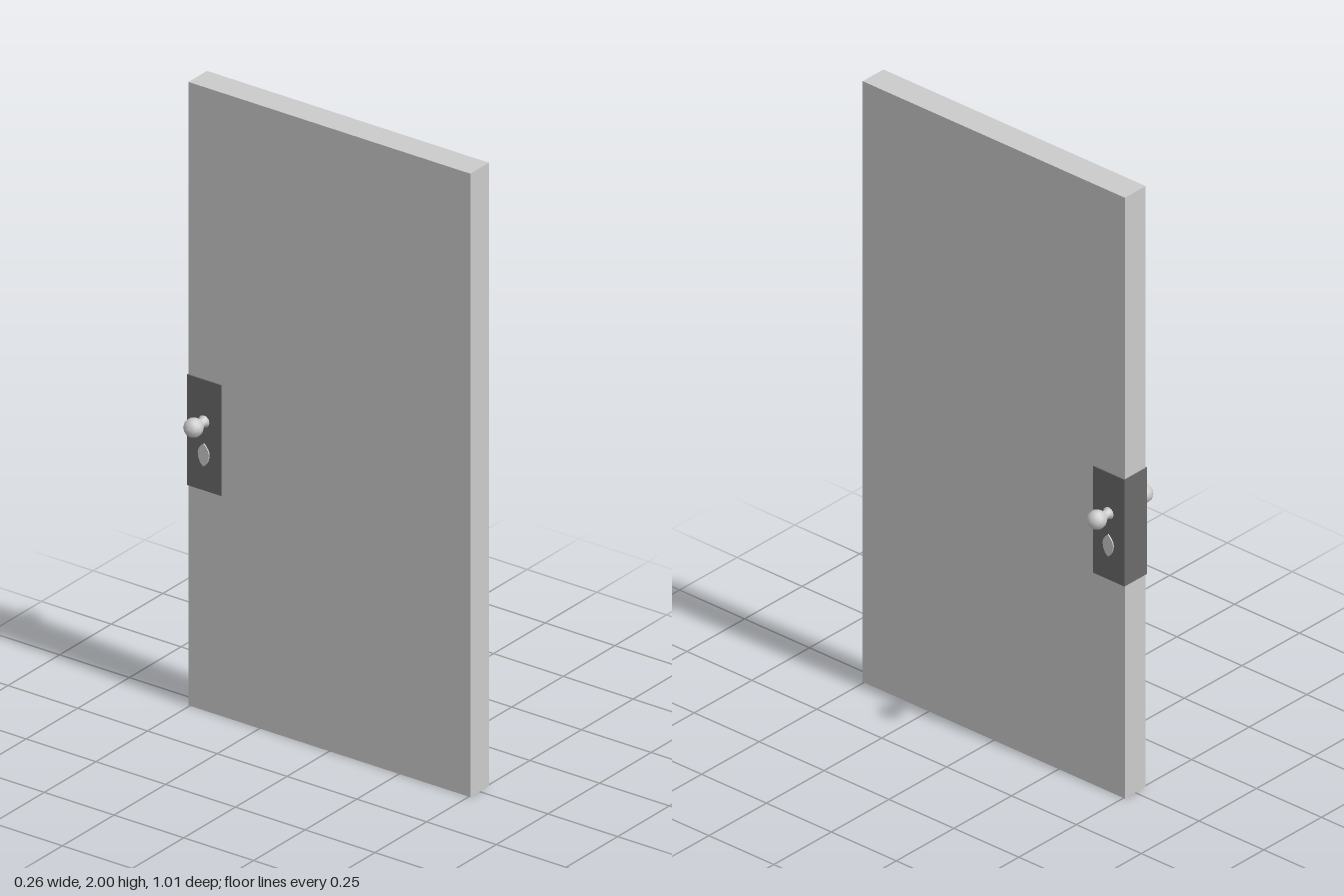
import * as THREE from 'three';

const grey = new THREE.MeshStandardMaterial({ color: 0xcccccc });
const darkMetal = new THREE.MeshStandardMaterial({ color: 0x6b6b6b });

function add(parent, name, geometry, material, x = 0, y = 0, z = 0) {
  const mesh = new THREE.Mesh(geometry, material);
  mesh.name = name;
  mesh.position.set(x, y, z);
  parent.add(mesh);
  return mesh;
}

// Stem and ball in one turned profile, pointing along +y from the plate
function knobGeometry() {
  const profile = [[0.019, 0], [0.019, 0.004], [0.014, 0.007], [0.014, 0.026]];
  const radius = 0.03, centre = 0.052;
  for (let i = 0; i <= 8; i++) {
    const a = THREE.MathUtils.lerp(Math.PI * 0.83, 0, i / 8);
    profile.push([radius * Math.sin(a), centre + radius * Math.cos(a)]);
  }
  return new THREE.LatheGeometry(profile.map(([r, h]) => new THREE.Vector2(Math.max(r, 0), h)), 12);
}

// Teardrop cover over the keyhole, pointed at the top
function keyCoverGeometry() {
  const s = new THREE.Shape();
  s.moveTo(0, 0.038);
  s.quadraticCurveTo(0.019, 0.022, 0.02, 0.006);
  s.quadraticCurveTo(0.02, -0.022, 0, -0.036);
  s.quadraticCurveTo(-0.02, -0.022, -0.02, 0.006);
  s.quadraticCurveTo(-0.019, 0.022, 0, 0.038);
  return new THREE.ExtrudeGeometry(s, { depth: 0.005, bevelEnabled: false, curveSegments: 4 });
}

// Lock plate folded in a U around the door edge
function plateGeometry() {
  const s = new THREE.Shape();
  const points = [[-0.049, 0.507], [0.049, 0.507], [0.049, 0.385], [0.045, 0.385],
    [0.045, 0.505], [-0.045, 0.505], [-0.045, 0.385], [-0.049, 0.385]];
  s.setFromPoints(points.map(([x, y]) => new THREE.Vector2(x, y)));
  const g = new THREE.ExtrudeGeometry(s, { depth: 0.355, bevelEnabled: false });
  return g.rotateX(-Math.PI / 2);
}

export function createModel() {
  const door = new THREE.Group();
  door.name = 'door';

  add(door, 'doorPanel', new THREE.BoxGeometry(0.09, 2, 1.01), grey, 0, 1, 0);
  add(door, 'lockPlate', plateGeometry(), darkMetal, 0, 0.708, 0);

  // Knob and key cover on both faces
  const knob = knobGeometry();
  const cover = keyCoverGeometry();
  for (const [side, label] of [[1, 'left'], [-1, 'right']]) {
    const k = add(door, label + 'Knob', knob, grey, side * 0.048, 0.93, -0.446);
    k.rotation.z = -side * Math.PI / 2;
    const c = add(door, label + 'KeyCover', cover, grey, side * 0.048, 0.822, -0.446);
    c.rotation.y = side * Math.PI / 2;
  }
  return door;
}
